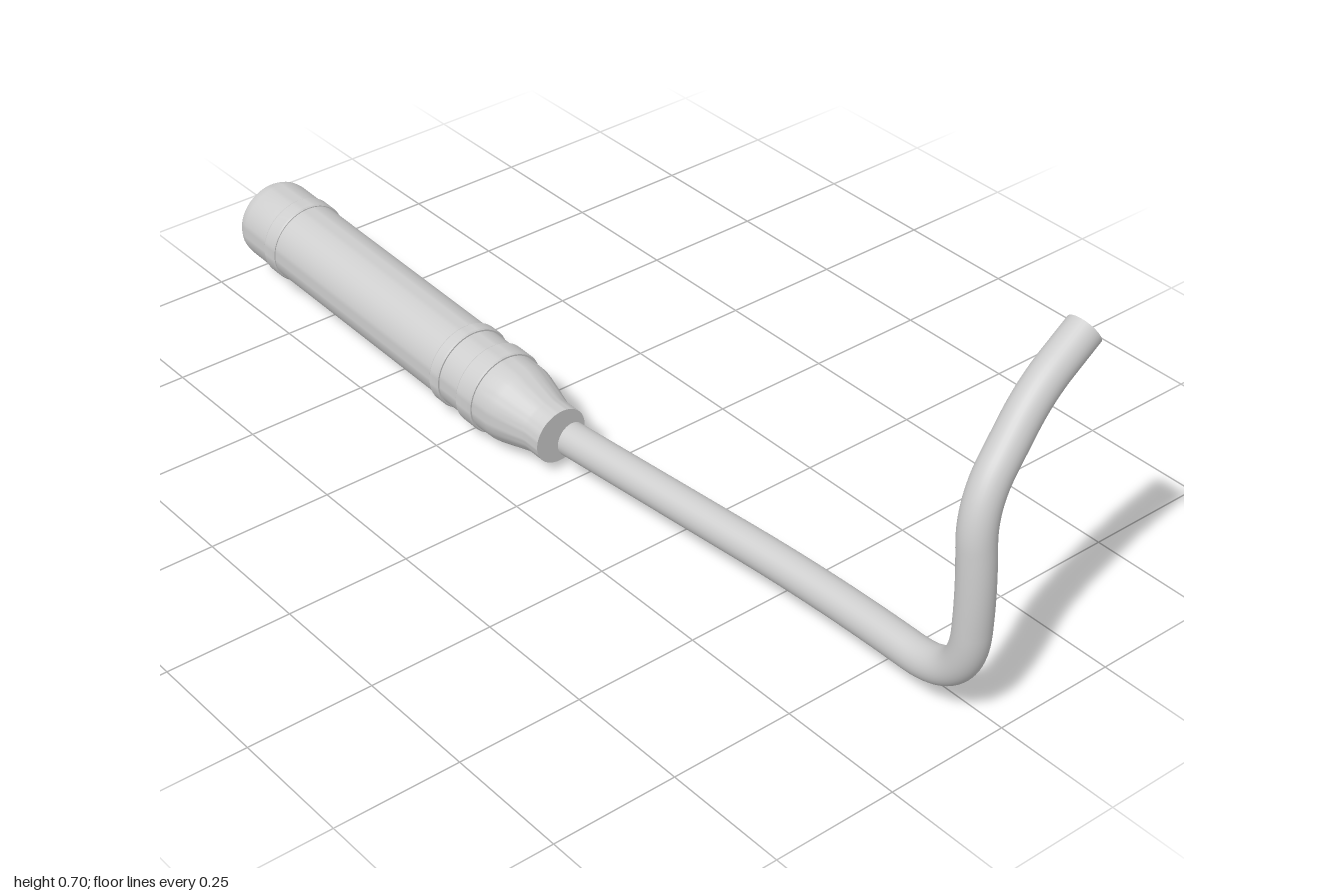
import * as THREE from 'three';
import { toCreasedNormals } from 'three/addons/utils/BufferGeometryUtils.js';

const V = (x, y, z) => new THREE.Vector3(x, y, z);

// Path of straight runs joined by rounded bends; each corner is [point, bend length]
function bentPath(start, corners, end) {
  const path = new THREE.CurvePath();
  let from = start;
  corners.forEach(([corner, size], i) => {
    const prev = i ? corners[i - 1][0] : start;
    const next = i + 1 < corners.length ? corners[i + 1][0] : end;
    const a = corner.clone().add(prev.clone().sub(corner).setLength(size));
    const b = corner.clone().add(next.clone().sub(corner).setLength(size));
    path.add(new THREE.LineCurve3(from, a));
    path.add(new THREE.QuadraticBezierCurve3(a, corner, b));
    from = b;
  });
  path.add(new THREE.LineCurve3(from, end));
  return path;
}

export function createModel() {
  const model = new THREE.Group();
  model.name = 'exhaust';
  const metal = new THREE.MeshStandardMaterial({ color: 0xcccccc });
  metal.name = 'light grey metal';

  const add = (name, geometry, parent = model) => {
    const mesh = new THREE.Mesh(geometry, metal);
    mesh.name = name;
    parent.add(mesh);
    return mesh;
  };

  // Silencer, turned around its own slightly sloping axis
  const tip = V(-0.999, 0.137, 0.134);
  const neck = V(-0.04, 0.083, 0.114);
  const axis = neck.clone().sub(tip);
  const length = axis.length();
  const silencer = new THREE.Group();
  silencer.name = 'silencer';
  silencer.position.copy(tip);
  silencer.quaternion.setFromUnitVectors(V(0, 1, 0), axis.clone().normalize());
  model.add(silencer);

  const turned = (name, profile) => {
    const points = profile.map(([r, t]) => new THREE.Vector2(r, t));
    add(name, toCreasedNormals(new THREE.LatheGeometry(points, 56), 0.45), silencer);
  };

  turned('outletTip', [
    [0, 0.08], [0.035, 0.08], [0.035, 0], [0.043, 0], [0.043, 0.06],
  ]);
  turned('silencerBody', [
    [0, 0.05], [0.06, 0.05], [0.06, 0.028], [0.068, 0.024], [0.076, 0.028],
    [0.081, 0.037], [0.083, 0.05], [0.083, 0.11], [0.082, 0.16], [0.081, 0.67],
    [0.081, 0.8], [0.08, 0.835], [0.077, 0.85], [0.058, 0.918],
    [0.057, 0.925], [0.057, length], [0, length],
  ]);

  // Raised bands around the body
  [['rearBand', 0.12, 0.155], ['middleBand', 0.668, 0.695], ['frontBand', 0.75, 0.795]]
    .forEach(([name, a, b]) => turned(name, [
      [0.078, a], [0.084, a], [0.086, a + 0.003], [0.086, b - 0.003], [0.084, b], [0.078, b],
    ]));

  // Header pipe
  const radius = 0.034;
  const start = V(-0.022, 0.082, 0.104);
  const end = V(0.92, 0.675, -0.203);
  const path = bentPath(start, [
    [V(0.62, 0.085, 0.046), 0.2],
    [V(0.955, 0.085, 0.046), 0.13],
    [V(0.964, 0.3, 0.049), 0.07],
    [V(0.95, 0.459, 0.049), 0.075],
    [V(0.928, 0.608, -0.09), 0.06],
  ], end);
  add('headerPipe', new THREE.TubeGeometry(path, 180, radius, 32));

  // Flat discs closing both ends of the pipe
  [['pipeStartCap', start, path.getTangent(0).negate()], ['pipeEndCap', end, path.getTangent(1)]]
    .forEach(([name, point, facing]) => {
      const cap = add(name, new THREE.CircleGeometry(radius, 32));
      cap.position.copy(point);
      cap.quaternion.setFromUnitVectors(V(0, 0, 1), facing.normalize());
    });

  return model;
}
